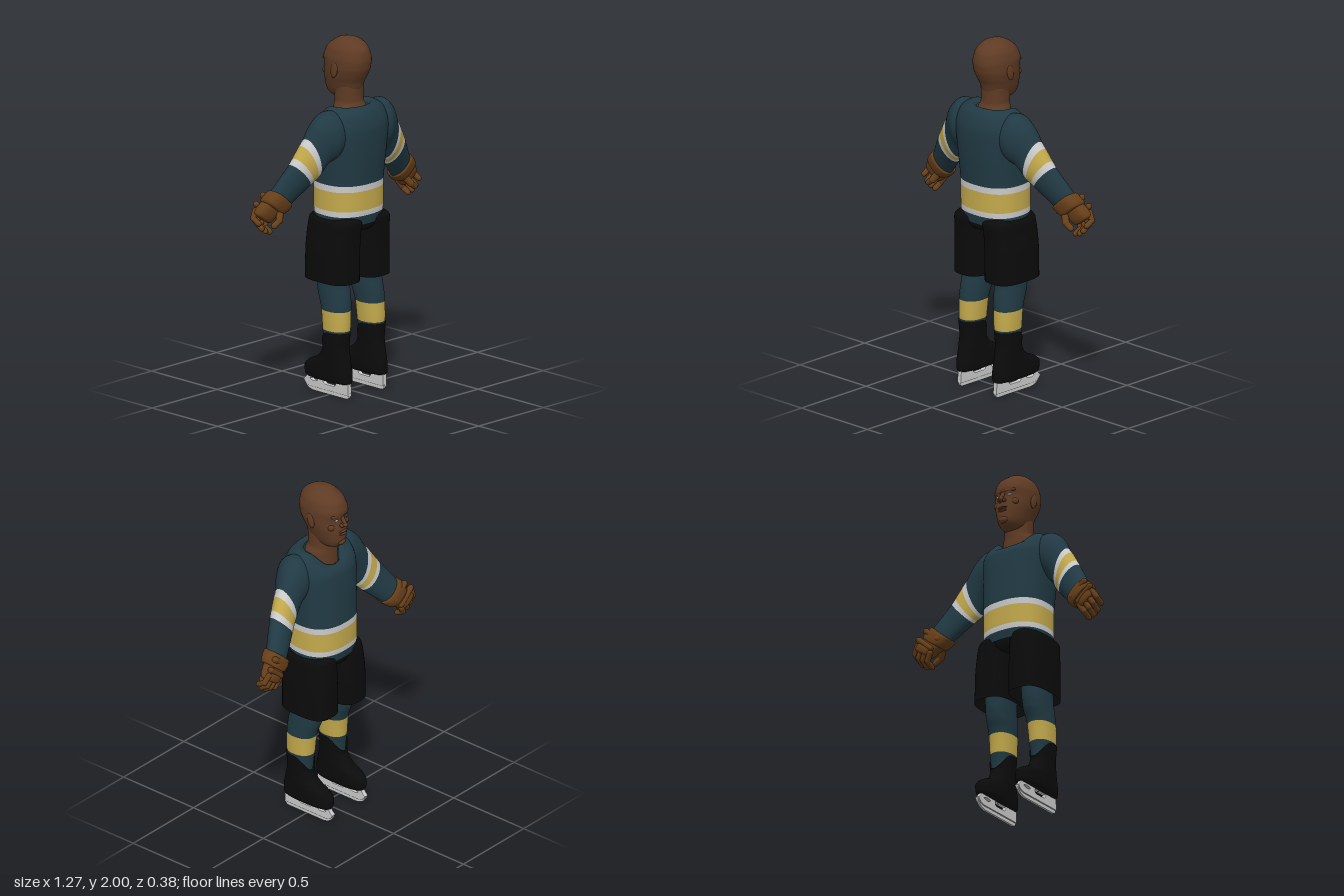
import * as THREE from 'three';
import { ParametricGeometry } from 'three/addons/geometries/ParametricGeometry.js';

const mat = (color, side = THREE.FrontSide) => new THREE.MeshStandardMaterial({ color, side, roughness: 0.8 });
const JERSEY = mat(0x213a44, THREE.DoubleSide), GOLD = mat(0xc4aa4c), WHITE = mat(0xeeeeee);
const BLACK = mat(0x0b0b0b, THREE.DoubleSide), SKIN = mat(0x5f3b24), GLOVE = mat(0x673f19), STEEL = mat(0xcccccc);

// Cross-sections: [px, py, qx, qy, zCentre, depth, squareness, frontDip]; p and q are opposite rim points
const up = (xc, y, a, zb, zf, n = 2.2, dip = 0) => [xc + a, y, xc - a, y, (zb + zf) / 2, (zb - zf) / 2, n, dip];
const out = (px, py, qx, qy, z, b, n = 2) => [px, py, qx, qy, z, -b, n, 0];

// Smooth, non-overshooting blend between cross-sections at position t
function sectionAt(S, t) {
  const last = S.length - 1, i = Math.min(Math.floor(t), last - 1), f = t - i;
  return S[0].map((_, k) => {
    const d = j => S[j + 1][k] - S[j][k];
    const m = j => {
      if (j === 0) return d(0);
      if (j === last) return d(last - 1);
      const a = d(j - 1), b = d(j);
      return a * b > 0 ? 2 * a * b / (a + b) : 0;
    };
    const f2 = f * f, f3 = f2 * f;
    return S[i][k] * (2 * f3 - 3 * f2 + 1) + m(i) * (f3 - 2 * f2 + f)
      + S[i + 1][k] * (3 * f2 - 2 * f3) + m(i + 1) * (f3 - f2);
  });
}

// Skin over cross-sections from index t0 to t1
function loft(S, t0 = 0, t1 = S.length - 1, segs = 40) {
  return new ParametricGeometry((u, v, target) => {
    const [px, py, qx, qy, z, b, n, dip] = sectionAt(S, t0 + (t1 - t0) * v);
    const th = u * Math.PI * 2, c = Math.cos(th), s = Math.sin(th);
    const pw = w => Math.sign(w) * Math.pow(Math.abs(w), 2 / n);
    const cc = pw(c), ss = pw(s);
    target.set((px + qx) / 2 + (px - qx) / 2 * cc,
      (py + qy) / 2 + (py - qy) / 2 * cc - dip * Math.max(0, s) ** 2, z - b * ss);
  }, segs, Math.ceil((t1 - t0) * 5));
}

// Rounded bar between two points
function bar(a, b, r) {
  const A = new THREE.Vector3(...a), B = new THREE.Vector3(...b), d = B.clone().sub(A);
  const g = new THREE.CapsuleGeometry(r, d.length(), 5, 12);
  g.applyQuaternion(new THREE.Quaternion().setFromUnitVectors(new THREE.Vector3(0, 1, 0), d.normalize()));
  return g.translate(...A.add(B).multiplyScalar(0.5).toArray());
}

const ball = (x, y, z, rx, ry, rz, tilt = 0) =>
  new THREE.SphereGeometry(1, 20, 14).scale(rx, ry, rz).rotateX(tilt).translate(x, y, z);

// Mirrored copy across x = 0 with its faces turned back outward
function mirror(geo) {
  const g = geo.clone().scale(-1, 1, 1);
  const n = g.index ? g.index.count : g.attributes.position.count;
  const idx = Array.from({ length: n }, (_, i) => g.index ? g.index.getX(i) : i);
  for (let i = 0; i < n; i += 3) [idx[i], idx[i + 1]] = [idx[i + 1], idx[i]];
  g.setIndex(idx);
  return g;
}

export function createModel() {
  const model = new THREE.Group();
  model.name = 'hockeyPlayer';
  const add = (name, geo, material) => {
    const mesh = new THREE.Mesh(geo, material);
    mesh.name = name;
    model.add(mesh);
  };
  const pair = (name, geo, material) => {
    add('left' + name, geo, material);
    add('right' + name, mirror(geo), material);
  };

  // Jersey body with hem stripes and scooped collar
  const torso = [
    up(0, 0.975, 0.185, 0.165, -0.15, 2.4), up(0, 1.025, 0.19, 0.172, -0.158, 2.4),
    up(0, 1.055, 0.19, 0.174, -0.16, 2.4), up(0, 1.165, 0.19, 0.175, -0.16, 2.4),
    up(0, 1.2, 0.19, 0.176, -0.16, 2.4), up(0, 1.36, 0.2, 0.19, -0.15, 2.4),
    up(0, 1.5, 0.212, 0.194, -0.137, 2.4, 0.01), up(0, 1.595, 0.19, 0.165, -0.1, 2.3, 0.05),
    up(0, 1.63, 0.135, 0.125, -0.083, 2.2, 0.09), up(0, 1.612, 0.1, 0.108, -0.074, 2, 0.09)];
  [[0, 1, JERSEY], [1, 2, WHITE], [2, 3, GOLD], [3, 4, WHITE], [4, 9, JERSEY]]
    .forEach(([a, b, m], i) => add('jerseyBody' + (i + 1), loft(torso, a, b, 56), m));

  // Sleeves with three-part stripe
  const sleeve = [
    out(0.09, 1.6, 0.12, 1.36, 0.045, 0.09), out(0.2, 1.622, 0.185, 1.345, 0.045, 0.105),
    out(0.28, 1.57, 0.215, 1.325, 0.033, 0.09), out(0.333, 1.485, 0.26, 1.257, 0.016, 0.073),
    out(0.36, 1.45, 0.272, 1.243, 0.01, 0.07), out(0.402, 1.385, 0.29, 1.225, -0.002, 0.066),
    out(0.424, 1.352, 0.302, 1.212, -0.009, 0.063), out(0.52, 1.21, 0.405, 1.11, -0.06, 0.053)];
  [[0, 3, JERSEY], [3, 4, WHITE], [4, 5, GOLD], [5, 6, WHITE], [6, 7, JERSEY]]
    .forEach(([a, b, m], i) => pair('Sleeve' + (i + 1), loft(sleeve, a, b), m));

  // Gloves: flared cuff, padded hand, curled fingers and thumb
  pair('GloveCuff', loft([
    out(0.46, 1.16, 0.458, 1.158, -0.06, 0.001), out(0.515, 1.215, 0.4, 1.11, -0.06, 0.062, 2.6),
    out(0.53, 1.205, 0.41, 1.098, -0.064, 0.066, 2.6), out(0.565, 1.165, 0.45, 1.07, -0.075, 0.06, 2.6),
    out(0.515, 1.11, 0.513, 1.108, -0.08, 0.001)]), GLOVE);
  pair('GlovePalm', loft([
    out(0.555, 1.165, 0.45, 1.075, -0.078, 0.045, 2.6), out(0.592, 1.13, 0.49, 1.05, -0.092, 0.046, 2.6),
    out(0.612, 1.1, 0.515, 1.03, -0.098, 0.038, 2.6), out(0.57, 1.06, 0.568, 1.058, -0.09, 0.001)]), GLOVE);
  [[0.5, 0.018, -0.115], [0.545, 0.017, -0.122]].forEach(([x, r, z], i) =>
    pair('GlovePad' + (i + 1), bar([x + 0.035, 2.66 - 0.95 * x - 1.0, z], [x - 0.045, 1.59 - 0.95 * x, z], r), GLOVE));
  for (let i = 0; i < 4; i++) {
    const x = 0.602 - i * 0.028, y = 1.1 - i * 0.021, short = i === 0 || i === 3 ? 0.8 : 1;
    const knuckle = [x - 0.01, y + 0.01, -0.118];
    const joint = [x + 0.018 * short, y - 0.035 * short, -0.108];
    const tip = [x + 0.018 * short, y - 0.062 * short, -0.068];
    pair('Finger' + (i + 1) + 'Base', bar(knuckle, joint, 0.0165), GLOVE);
    pair('Finger' + (i + 1) + 'Tip', bar(joint, tip, 0.0155), GLOVE);
  }
  pair('ThumbBase', bar([0.475, 1.1, -0.045], [0.505, 1.055, -0.02], 0.02), GLOVE);
  pair('ThumbTip', bar([0.505, 1.055, -0.02], [0.54, 1.03, -0.025], 0.017), GLOVE);

  // Neck and head
  add('neck', loft([up(0, 1.5, 0.095, 0.1, -0.068), up(0, 1.6, 0.092, 0.1, -0.065),
    up(0, 1.65, 0.076, 0.085, -0.066), up(0, 1.74, 0.077, 0.087, -0.07)]), SKIN);
  add('head', loft([
    up(0, 1.653, 0.002, -0.05, -0.054, 2), up(0, 1.657, 0.034, 0, -0.095, 2), up(0, 1.672, 0.056, 0.05, -0.123),
    up(0, 1.7, 0.072, 0.08, -0.139), up(0, 1.755, 0.09, 0.1, -0.142), up(0, 1.79, 0.1, 0.118, -0.14),
    up(0, 1.84, 0.108, 0.137, -0.134), up(0, 1.88, 0.109, 0.143, -0.142), up(0, 1.93, 0.1, 0.137, -0.128, 2),
    up(0, 1.97, 0.074, 0.103, -0.083, 2), up(0, 1.99, 0.046, 0.062, -0.046, 2), up(0, 2, 0.002, 0.004, 0, 2)]), SKIN);
  add('noseBridge', bar([0, 1.855, -0.13], [0, 1.82, -0.152], 0.011), SKIN);
  add('noseTip', ball(0, 1.812, -0.152, 0.016, 0.014, 0.02), SKIN);
  pair('Nostril', ball(0.015, 1.807, -0.143, 0.011, 0.01, 0.014), SKIN);
  pair('Eye', ball(0.037, 1.842, -0.121, 0.013, 0.007, 0.01), WHITE);
  pair('UpperEyelid', bar([0.022, 1.85, -0.126], [0.052, 1.849, -0.117], 0.006), SKIN);
  pair('Brow', bar([0.016, 1.866, -0.133], [0.062, 1.868, -0.117], 0.009), SKIN);
  pair('Cheek', ball(0.055, 1.8, -0.105, 0.026, 0.022, 0.018), SKIN);
  add('upperLip', ball(0, 1.766, -0.139, 0.03, 0.007, 0.013), SKIN);
  add('lowerLip', ball(0, 1.75, -0.138, 0.027, 0.008, 0.013), SKIN);
  add('chin', ball(0, 1.698, -0.128, 0.03, 0.02, 0.018), SKIN);
  pair('Ear', ball(0.106, 1.825, 0.002, 0.009, 0.045, 0.024, 0.25), SKIN);

  // Shorts: two boxy legs joined by a seat
  pair('ShortsLeg', loft([
    up(0.115, 0.65, 0.104, 0.155, -0.16, 3), up(0.114, 0.8, 0.104, 0.156, -0.158, 3),
    up(0.11, 0.92, 0.1, 0.166, -0.155, 2.8), up(0.105, 0.985, 0.1, 0.176, -0.15, 2.6),
    up(0.09, 1.02, 0.08, 0.15, -0.13, 2.4)]), BLACK);
  add('shortsSeat', loft([up(0, 0.925, 0.002, 0.004, 0), up(0, 0.93, 0.07, 0.13, -0.12, 2.4),
    up(0, 0.97, 0.13, 0.165, -0.143, 2.6), up(0, 1.03, 0.15, 0.16, -0.14, 2.6)]), BLACK);

  // Socks with a gold band
  const sock = [
    up(0.135, 0.27, 0.055, 0.118, -0.024), up(0.134, 0.34, 0.06, 0.125, -0.03), up(0.133, 0.38, 0.064, 0.13, -0.035),
    up(0.13, 0.49, 0.069, 0.13, -0.045), up(0.125, 0.58, 0.072, 0.122, -0.076),
    up(0.123, 0.64, 0.073, 0.113, -0.086), up(0.12, 0.78, 0.076, 0.11, -0.09)];
  [[0, 2, JERSEY], [2, 3, GOLD], [3, 6, JERSEY]]
    .forEach(([a, b, m], i) => pair('Sock' + (i + 1), loft(sock, a, b), m));

  // Skate boots, higher at the back of the ankle
  const X = 0.135;
  pair('Boot', loft([
    up(X, 0.084, 0.002, 0.002, -0.002), up(X, 0.085, 0.042, 0.145, -0.16, 2.6), up(X, 0.1, 0.054, 0.155, -0.175, 2.6),
    up(X, 0.14, 0.058, 0.155, -0.179, 2.5), up(X, 0.175, 0.058, 0.15, -0.15, 2.4), up(X, 0.2, 0.058, 0.145, -0.1),
    up(X, 0.235, 0.058, 0.136, -0.055), up(X, 0.295, 0.061, 0.126, -0.034, 2.2, 0.02),
    up(X, 0.372, 0.066, 0.132, -0.036, 2.2, 0.085)]), BLACK);

  // Blade holder with openings, and the thin runner below it
  const plate = (shape, width, bevel) => new THREE.ExtrudeGeometry(shape, {
    depth: width, bevelSize: bevel, bevelThickness: bevel, bevelSegments: 2, curveSegments: 12
  }).translate(0, 0, -width / 2).rotateY(-Math.PI / 2).translate(X, 0, 0);
  const holder = new THREE.Shape();
  holder.moveTo(0.145, 0.095);
  holder.lineTo(0.148, 0.025);
  holder.lineTo(-0.14, 0.025);
  holder.quadraticCurveTo(-0.175, 0.03, -0.185, 0.055);
  holder.quadraticCurveTo(-0.165, 0.07, -0.155, 0.095);
  holder.closePath();
  const gap = new THREE.Path();
  gap.moveTo(0.06, 0.088);
  gap.lineTo(-0.04, 0.088);
  gap.quadraticCurveTo(-0.05, 0.06, -0.03, 0.052);
  gap.lineTo(0.04, 0.052);
  gap.quadraticCurveTo(0.06, 0.06, 0.06, 0.088);
  holder.holes.push(gap, new THREE.Path().absellipse(-0.112, 0.066, 0.032, 0.011, 0, Math.PI * 2));
  pair('BladeHolder', plate(holder, 0.02, 0.004), STEEL);
  const runner = new THREE.Shape();
  runner.moveTo(0.15, 0.035);
  runner.quadraticCurveTo(0.155, 0.006, 0.13, 0.002);
  runner.lineTo(-0.12, 0.002);
  runner.quadraticCurveTo(-0.175, 0.008, -0.188, 0.05);
  runner.lineTo(-0.15, 0.035);
  runner.closePath();
  pair('BladeRunner', plate(runner, 0.01, 0.002), STEEL);

  return model;
}
